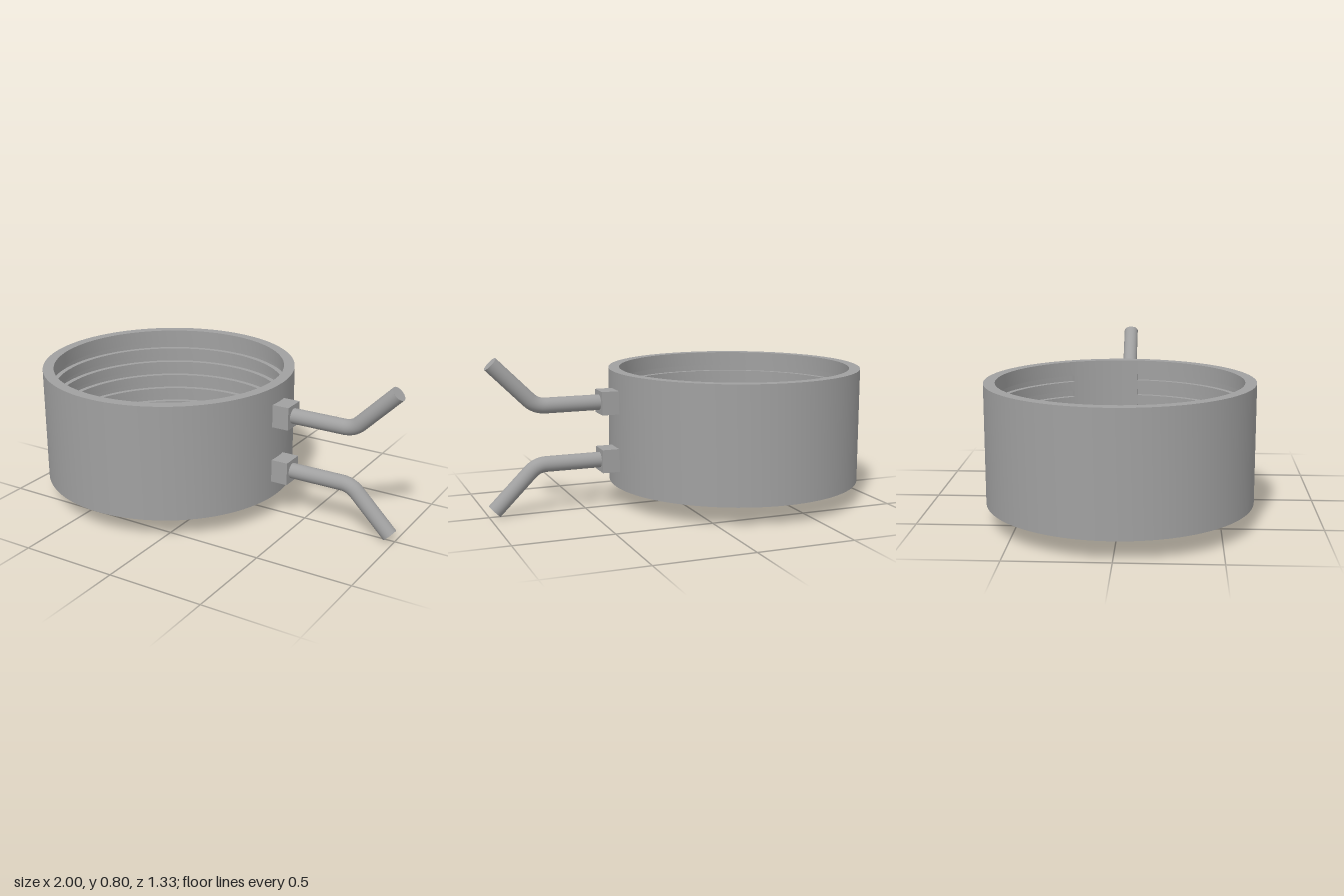
import * as THREE from 'three';
import { toCreasedNormals } from 'three/addons/utils/BufferGeometryUtils.js';

const CX = -1 / 3, R_OUT = 2 / 3, R_IN = 0.61, R_GROOVE = 0.638;
const Y0 = 0.1, Y1 = 0.7, MID = 0.4;
const GROOVES = 6, PITCH = 0.083, GROOVE_H = 0.034;
const GAP_START = THREE.MathUtils.degToRad(84), GAP_END = THREE.MathUtils.degToRad(117);

const grooveY = (i) => MID + ((GROOVES - 1) / 2 - i) * PITCH;

export function createModel() {
  const metal = new THREE.MeshStandardMaterial({ color: 0xa0a0a0 });
  metal.name = 'grey metal';
  metal.side = THREE.DoubleSide;
  const model = new THREE.Group();
  model.name = 'grooved ring with pipes';

  const add = (parent, name, geometry) => {
    const mesh = new THREE.Mesh(geometry, metal);
    mesh.name = name;
    parent.add(mesh);
    return mesh;
  };
  const lathe = (points, segments, start, length) => toCreasedNormals(
    new THREE.LatheGeometry(points.map(([r, y]) => new THREE.Vector2(r, y)), segments, start, length), 0.6);

  // Ring wall: outer face and rims all round
  const ring = new THREE.Group();
  ring.name = 'ring';
  ring.position.x = CX;
  model.add(ring);
  add(ring, 'outerWall', lathe([[R_IN, Y0], [R_OUT, Y0], [R_OUT, Y1], [R_IN, Y1]], 96, 0, Math.PI * 2));

  // Inner wall: grooved for most of the turn, plain behind the connectors
  const inner = [[R_IN, Y1]];
  for (let i = 0; i < GROOVES; i++) {
    const top = grooveY(i) + GROOVE_H / 2, bottom = top - GROOVE_H;
    inner.push([R_IN, top], [R_GROOVE, top], [R_GROOVE, bottom], [R_IN, bottom]);
  }
  inner.push([R_IN, Y0]);
  add(ring, 'groovedInnerWall', lathe(inner, 88, GAP_END, Math.PI * 2 - (GAP_END - GAP_START)));
  add(ring, 'plainInnerWall', lathe([[R_IN, Y1], [R_IN, Y0]], 10, GAP_START, GAP_END - GAP_START));

  // Small faces closing both ends of each groove
  for (const phi of [GAP_START, GAP_END]) {
    for (let i = 0; i < GROOVES; i++) {
      const r = (R_IN + R_GROOVE) / 2;
      const end = add(ring, 'grooveEnd', new THREE.PlaneGeometry(R_GROOVE - R_IN, GROOVE_H));
      end.position.set(r * Math.sin(phi), grooveY(i), r * Math.cos(phi));
      end.rotation.y = phi - Math.PI / 2;
    }
  }

  // Two mirrored connectors with bent pipes
  for (const s of [1, -1]) {
    const fitting = new THREE.Group();
    fitting.name = s > 0 ? 'upperFitting' : 'lowerFitting';
    model.add(fitting);

    const block = add(fitting, 'connectorBlock', new THREE.BoxGeometry(0.1, 0.12, 0.12));
    block.position.set(0.37, MID + s * 0.15, 0);

    const p = (x, y) => new THREE.Vector3(x, MID + s * y, 0);
    const tip = p(0.972, 0.372);
    const path = new THREE.CurvePath();
    path.add(new THREE.LineCurve3(p(0.41, 0.15), p(0.7, 0.15)));
    path.add(new THREE.QuadraticBezierCurve3(p(0.7, 0.15), p(0.75, 0.15), p(0.785, 0.185)));
    path.add(new THREE.LineCurve3(p(0.785, 0.185), tip));
    add(fitting, 'bentPipe', new THREE.TubeGeometry(path, 60, 0.04, 28));

    const cap = add(fitting, 'pipeEnd', new THREE.CircleGeometry(0.04, 28));
    cap.position.copy(tip);
    cap.quaternion.setFromUnitVectors(new THREE.Vector3(0, 0, 1), new THREE.Vector3(1, s, 0).normalize());
  }
  return model;
}
